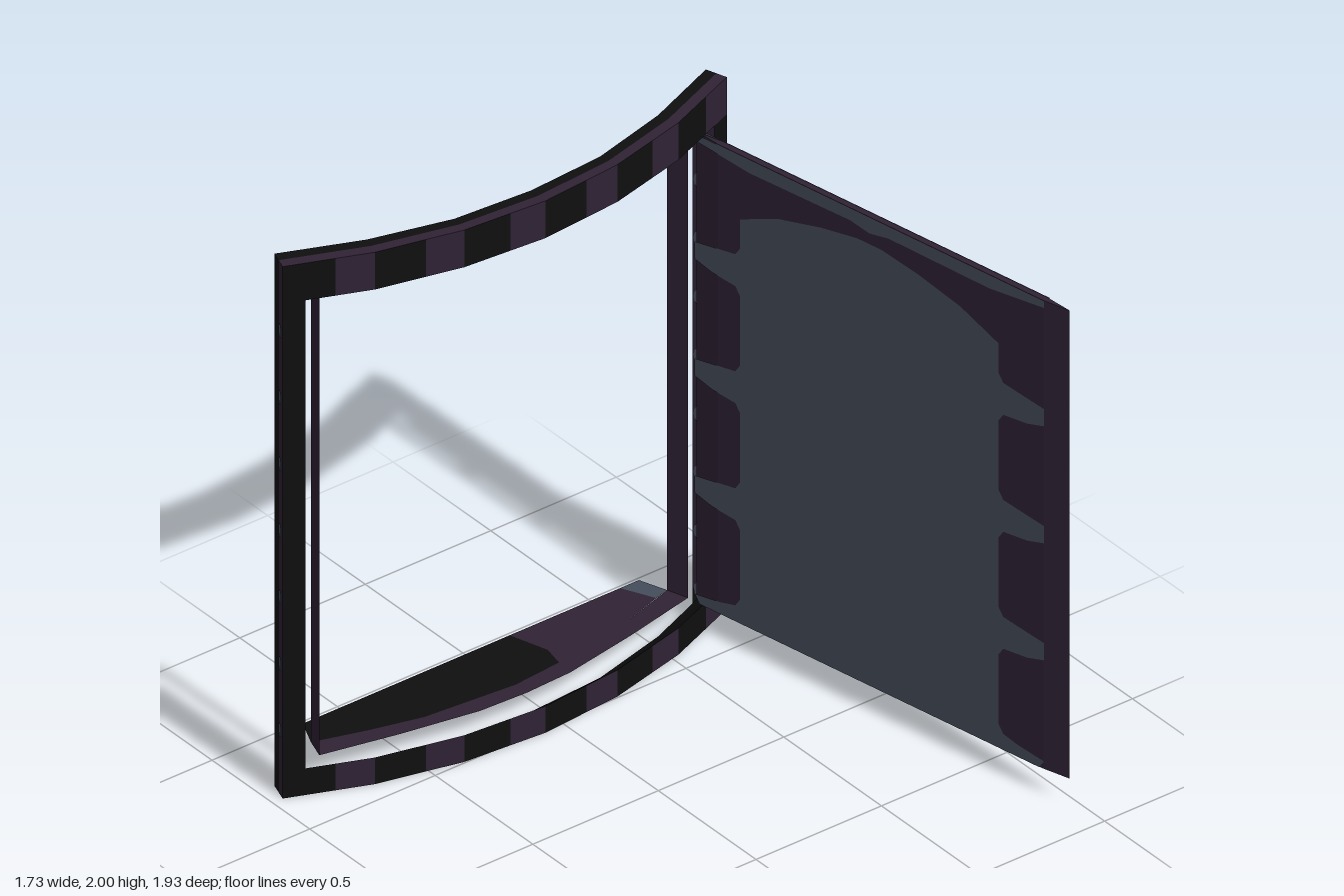
import * as THREE from 'three';

const mat = (name, color) => new THREE.MeshStandardMaterial({ name, color, side: THREE.DoubleSide });

// Mesh from a list of four-cornered faces
function quads(name, material, list) {
  const pos = [];
  for (const [a, b, c, d] of list) for (const p of [a, b, c, a, c, d]) pos.push(...p);
  const g = new THREE.BufferGeometry();
  g.setAttribute('position', new THREE.Float32BufferAttribute(pos, 3));
  g.computeVertexNormals();
  const m = new THREE.Mesh(g, material);
  m.name = name;
  return m;
}

// Plan points are [x, z]; at() lifts them to a height
const at = (p, y) => [p[0], y, p[1]];
const mix = (a, b, t) => [a[0] + (b[0] - a[0]) * t, a[1] + (b[1] - a[1]) * t];
// Half curve [x, distance from middle] mirrored about the middle of the frame
const MID = 0.075;
const curve = half => [
  ...half.map(([x, d]) => [x, MID + d]),
  ...half.slice(0, -1).reverse().map(([x, d]) => [x, MID - d]),
];

// Horizontal sheet from plan points
function sheet(name, material, pts, y) {
  const g = new THREE.ShapeGeometry(new THREE.Shape(pts.map(([x, z]) => new THREE.Vector2(x, -z))));
  g.rotateX(-Math.PI / 2);
  g.translate(0, y, 0);
  const m = new THREE.Mesh(g, material);
  m.name = name;
  return m;
}

export function createModel() {
  const root = new THREE.Group();
  root.name = 'curvedDoorway';
  const black = mat('black', 0x0f0f10);
  const purple = mat('darkPurple', 0x2f2235);
  const grey = mat('slateGrey', 0x464d5b);
  const gold = mat('gold', 0x6f4d1c);

  // Curved frame: outer and inner plan curves, running front to back
  const O = curve([[-0.69, 0.885], [-0.577, 0.605], [-0.505, 0.305], [-0.48, 0]]);
  const I = curve([[-0.765, 0.86], [-0.65, 0.58], [-0.575, 0.29], [-0.555, 0]]);
  const frame = new THREE.Group();
  frame.name = 'frame';
  root.add(frame);
  const dark = [], tint = [];

  // Beams: edge is the outside height, lip the opening side, back the shallower inner face
  for (const { edge, lip, back } of [
    { edge: 2, lip: 1.86, back: 1.93 },
    { edge: 0, lip: 0.1, back: 0.04 },
  ]) {
    for (let i = 0; i < O.length - 1; i++) {
      const o0 = O[i], o1 = O[i + 1], n0 = I[i], n1 = I[i + 1];
      const oS = mix(o0, o1, 0.57);
      const m0 = mix(n0, o0, 0.5), m1 = mix(n1, o1, 0.5);
      dark.push([at(o0, lip), at(oS, lip), at(oS, edge), at(o0, edge)]);
      tint.push([at(oS, lip), at(o1, lip), at(o1, edge), at(oS, edge)]);
      dark.push([at(n0, edge), at(m0, edge), at(m1, edge), at(n1, edge)]);
      tint.push([at(m0, edge), at(o0, edge), at(o1, edge), at(m1, edge)]);
      dark.push([at(n0, edge), at(n1, edge), at(n1, back), at(n0, back)]);
      dark.push([at(n0, back), at(n1, back), at(o1, lip), at(o0, lip)]);
    }
  }

  // Posts at both ends, with studs on the end cap and the inner reveal
  const studs = new THREE.Group();
  studs.name = 'studs';
  frame.add(studs);
  const stud = (p, y, dir) => {
    const m = new THREE.Mesh(new THREE.CircleGeometry(0.028, 10), grey);
    m.scale.x = 0.5;
    m.position.set(p[0] + dir[0] * 0.004, y, p[1] + dir[1] * 0.004);
    m.rotation.y = Math.atan2(dir[0], dir[1]);
    studs.add(m);
  };
  for (const [a, b] of [[0, 1], [6, 5]]) {
    const oEnd = O[a], nEnd = I[a];
    const oIn = mix(O[a], O[b], 0.25), nIn = mix(I[a], I[b], 0.28), m = mix(nEnd, oEnd, 0.55);
    dark.push([at(oEnd, 0.1), at(oIn, 0.1), at(oIn, 1.86), at(oEnd, 1.86)]);
    dark.push([at(nEnd, 0.04), at(nIn, 0.04), at(nIn, 1.96), at(nEnd, 1.96)]);
    dark.push([at(nEnd, 0), at(m, 0), at(m, 2), at(nEnd, 2)]);
    tint.push([at(m, 0), at(oEnd, 0), at(oEnd, 2), at(m, 2)]);
    tint.push([at(oIn, 0.1), at(nIn, 0.1), at(nIn, 1.86), at(oIn, 1.86)]);
    const s = a === 0 ? 1 : -1;
    for (let i = 1; i < 8; i++) stud(mix(nEnd, oEnd, 0.8), i * 0.25, [-0.37, 0.93 * s]);
    for (let i = 0; i < 8; i++) stud(mix(nIn, oIn, 0.25), 0.1 + i * 0.22, [0.37, -0.93 * s]);
  }
  frame.add(quads('frameDark', black, dark), quads('framePurple', purple, tint));

  // Thin liner behind the frame
  const LO = curve([[-0.695, 0.735], [-0.635, 0.46], [-0.585, 0.18], [-0.577, 0]]);
  const LI = curve([[-0.77, 0.71], [-0.712, 0.52], [-0.665, 0.34], [-0.635, 0]]);
  const liner = [];
  for (const y of [0.1, 1.86])
    for (let i = 0; i < 6; i++)
      liner.push([at(LO[i], y), at(LO[i + 1], y), at(LI[i + 1], y), at(LI[i], y)]);
  for (const e of [0, 6])
    liner.push([at(LO[e], 0.1), at(LI[e], 0.1), at(LI[e], 1.86), at(LO[e], 1.86)]);
  root.add(quads('liner', purple, liner));

  // Floor sheet in three colours
  root.add(
    sheet('floorFront', black, [[-0.87, 0.74], ...LI.slice(0, 4), [-0.645, -0.11], [-0.73, -0.128], [-0.87, -0.085]], 0.1),
    sheet('floorMiddle', purple, [[-0.87, -0.085], [-0.73, -0.128], [-0.645, -0.11], LI[4], LI[5], [-0.755, -0.58], [-0.87, -0.525]], 0.1),
    sheet('floorBack', grey, [[-0.87, -0.525], [-0.755, -0.58], LI[6], [-0.87, -0.6]], 0.1),
  );

  // Open door: slim slab with tapered side edges
  const door = new THREE.Group();
  door.name = 'door';
  door.position.set(0.095, 0, -0.822);
  door.rotation.y = 0.19;
  root.add(door);
  const plan = [[-0.78, 0], [-0.68, -0.011], [0.68, -0.011], [0.78, 0], [0.68, 0.011], [-0.68, 0.011]];
  const slabGeo = new THREE.ExtrudeGeometry(
    new THREE.Shape(plan.map(p => new THREE.Vector2(...p))), { depth: 1.76, bevelEnabled: false });
  slabGeo.rotateX(-Math.PI / 2);
  slabGeo.translate(0, 0.1, 0);
  const slab = new THREE.Mesh(slabGeo, purple);
  slab.name = 'doorSlab';
  door.add(slab);

  // Painted panel with toothed sides and arched top, plus a strip along the top
  const side = [[0.71, 0.1], [0.73, 0.13], [0.62, 0.145], [0.56, 0.16], [0.54, 0.19]];
  for (const c of [0.54, 0.98, 1.42])
    side.push([0.54, c - 0.09], [0.56, c - 0.06], [0.66, c - 0.05], [0.73, c - 0.03],
      [0.73, c + 0.035], [0.66, c + 0.045], [0.56, c + 0.06], [0.54, c + 0.09]);
  side.push([0.54, 1.62], [0.38, 1.69], [0.2, 1.735], [0.05, 1.76]);
  const strip = [[0, 1.8], [0.08, 1.815], [0.5, 1.81], [0.64, 1.825], [0.73, 1.835], [0.73, 1.86]];
  const CENTRE = -0.046;
  const mirrored = half => new THREE.ShapeGeometry(new THREE.Shape([
    ...half, ...half.slice().reverse().filter(p => p[0] > 0).map(([x, y]) => [-x, y]),
  ].map(([x, y]) => new THREE.Vector2(x + CENTRE, y))));
  for (const [name, half] of [['doorPanel', side], ['doorTopStrip', strip]]) {
    const g = mirrored(half);
    for (const z of [0.0135, -0.0135]) {
      const m = new THREE.Mesh(g, grey);
      m.name = name;
      m.position.z = z;
      door.add(m);
    }
  }

  // Handwheel on the back of the door
  const wheel = new THREE.Group();
  wheel.name = 'handwheel';
  wheel.position.set(CENTRE, 0.98, -0.024);
  door.add(wheel);
  const rimGeo = new THREE.TorusGeometry(0.262, 0.024, 4, 10).toNonIndexed();
  rimGeo.scale(1, 1, 0.5);
  rimGeo.computeVertexNormals();
  const rim = new THREE.Mesh(rimGeo, gold);
  rim.name = 'rim';
  wheel.add(rim);
  for (let i = 0; i < 6; i++) {
    const g = new THREE.CylinderGeometry(0.018, 0.018, 0.2, 4);
    g.scale(1, 1, 0.6);
    g.translate(0, 0.155, 0);
    const spoke = new THREE.Mesh(g.toNonIndexed(), gold);
    spoke.geometry.computeVertexNormals();
    spoke.name = 'spoke';
    spoke.rotation.z = Math.PI / 2 + (i * Math.PI) / 3;
    wheel.add(spoke);
  }
  return root;
}
